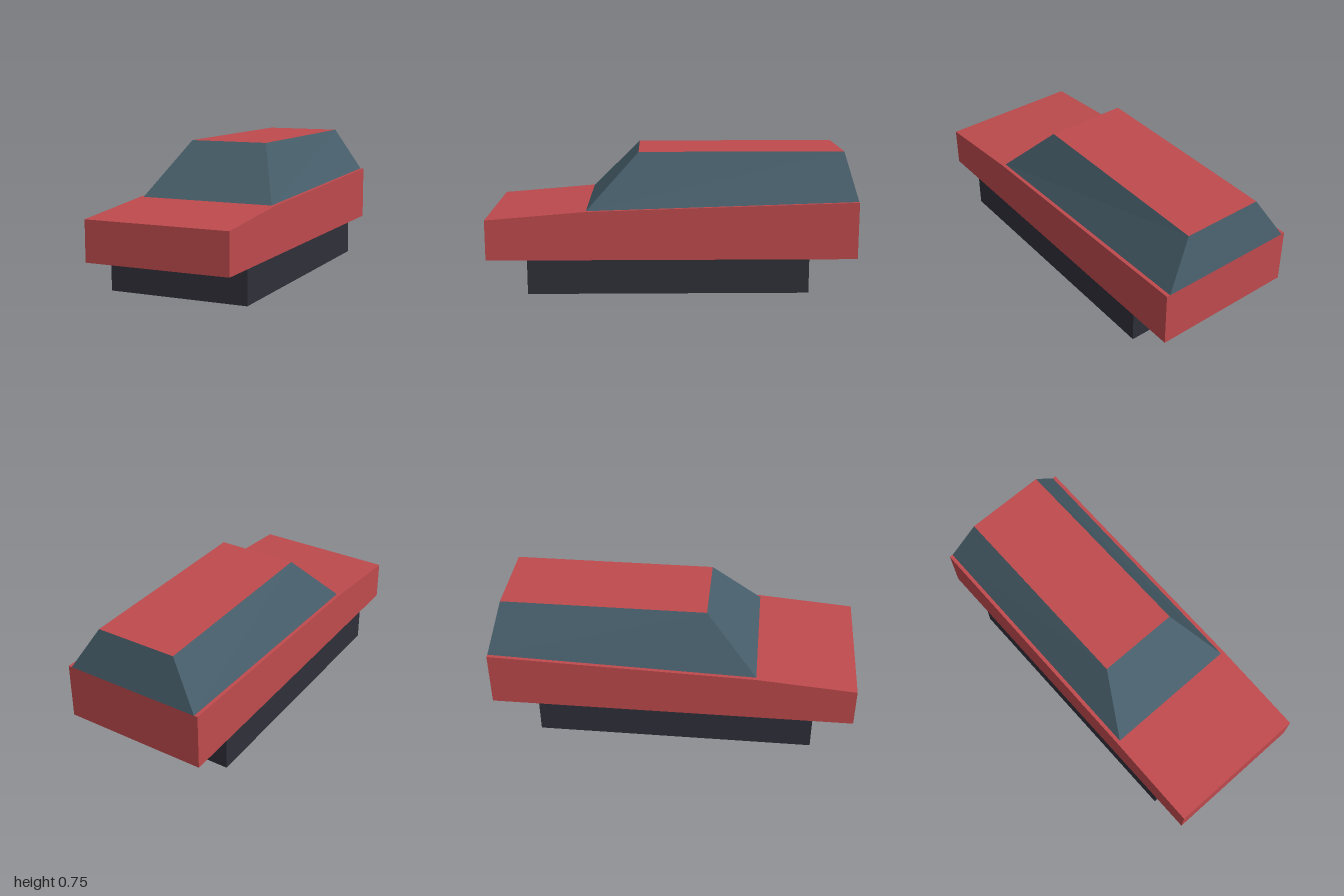
import * as THREE from 'three';

const paint = (name, color) =>
  Object.assign(new THREE.MeshStandardMaterial({ color, side: THREE.DoubleSide, flatShading: true }), { name });

// Flat quads, corners counter-clockwise seen from outside
function quadMesh(name, quads, material) {
  const pos = [];
  for (const [a, b, c, d] of quads) pos.push(...a, ...b, ...c, ...a, ...c, ...d);
  const geo = new THREE.BufferGeometry();
  geo.setAttribute('position', new THREE.Float32BufferAttribute(pos, 3));
  geo.computeVertexNormals();
  const mesh = new THREE.Mesh(geo, material);
  mesh.name = name;
  return mesh;
}

// Walls joining a lower ring to an upper ring
const walls = (low, high) => low.map((p, i) => {
  const j = (i + 1) % low.length;
  return [p, low[j], high[j], high[i]];
});

// Four-cornered ring, starting front right and running counter-clockwise from above
const ring = (w, front, back, yFront, yBack = yFront) =>
  [[-w, yFront, front], [w, yFront, front], [w, yBack, back], [-w, yBack, back]];

export function createModel() {
  const red = paint('red paint', 0xbe4a4d);
  const glass = paint('blue grey glass', 0x465d69);
  const dark = paint('dark underside', 0x2f2f39);
  const group = new THREE.Group();
  group.name = 'car';

  // Wheel block: open frame below the body
  const base = 0.19;
  group.add(quadMesh('wheelBlock', walls(ring(0.39, 0.78, -0.74, 0), ring(0.39, 0.78, -0.74, base)), dark));

  // Body: open underneath, deck bends at the foot of the windscreen
  const w = 0.4;
  const top = [[-w, 0.41, 1], [w, 0.41, 1], [w, 0.455, 0.46], [w, 0.5, -1], [-w, 0.5, -1], [-w, 0.455, 0.46]];
  const bottom = top.map(([x, , z]) => [x, base, z]);
  group.add(quadMesh('bodySides', walls(bottom, top), red));
  group.add(quadMesh('hood', [[top[0], top[1], top[2], top[5]]], red));
  group.add(quadMesh('rearDeck', [[top[5], top[2], top[3], top[4]]], red));

  // Cabin: four sloping windows under a flat roof
  const sill = ring(0.38, 0.46, -1, 0.455, 0.5);
  const roof = ring(0.225, 0.18, -0.94, 0.75);
  group.add(quadMesh('windows', walls(sill, roof), glass));
  group.add(quadMesh('roof', [roof], red));

  return group;
}
